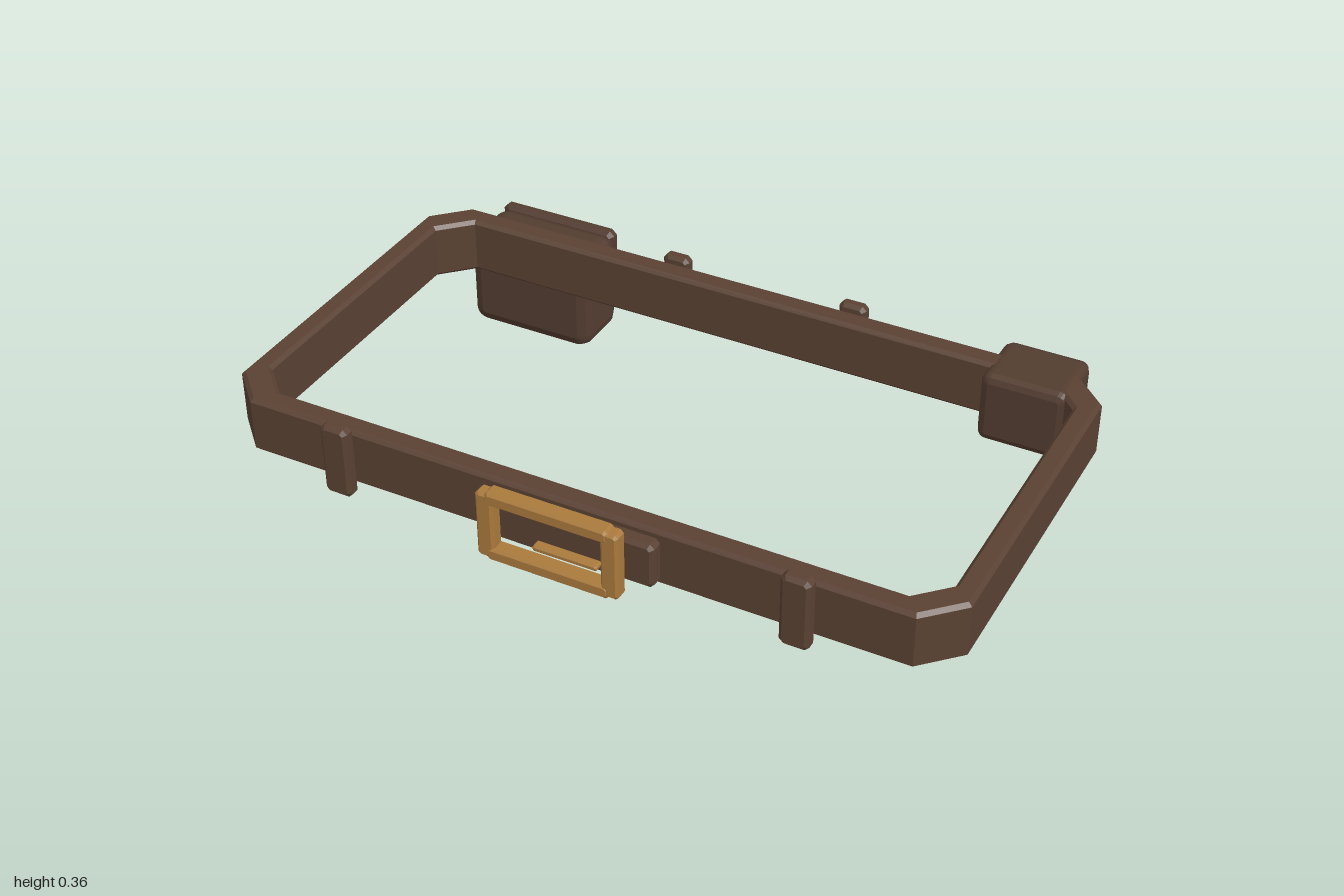
import * as THREE from 'three';

const leather = new THREE.MeshStandardMaterial({ color: 0x5a4133 });
leather.name = 'brown leather';
const pouchLeather = new THREE.MeshStandardMaterial({ color: 0x533c30 });
pouchLeather.name = 'dark leather';
const brass = new THREE.MeshStandardMaterial({ color: 0xaa7a3c });
brass.name = 'brass';
const stud = new THREE.MeshStandardMaterial({ color: 0xa06f28 });
stud.name = 'dark brass';

// Rectangle or ring outline with cut corners
function cutRect(Type, x0, x1, z0, z1, cx, cz = cx) {
  const p = [
    [x0 + cx, z0], [x1 - cx, z0], [x1, z0 + cz], [x1, z1 - cz],
    [x1 - cx, z1], [x0 + cx, z1], [x0, z1 - cz], [x0, z0 + cz],
  ];
  return new Type(p.map(([x, y]) => new THREE.Vector2(x, y)));
}

// Outline with rounded corners
function roundRect(w, h, r) {
  const s = new THREE.Shape();
  [[1, 1, 0], [-1, 1, 1], [-1, -1, 2], [1, -1, 3]].forEach(([sx, sy, q]) => {
    s.absarc(sx * (w / 2 - r), sy * (h / 2 - r), r, q * Math.PI / 2, (q + 1) * Math.PI / 2, false);
  });
  return s;
}

function add(parent, name, geometry, material) {
  const mesh = new THREE.Mesh(geometry, material);
  mesh.name = name;
  parent.add(mesh);
  return mesh;
}

// Box with bevelled edges, given by its limits on each axis
function block(parent, name, material, [x0, x1], [y0, y1], [z0, z1], bevel, segments = 1) {
  const w = x1 - x0, h = y1 - y0, d = z1 - z0;
  const shape = segments > 1
    ? roundRect(w, h, bevel * 1.2)
    : cutRect(THREE.Shape, -w / 2, w / 2, -h / 2, h / 2, bevel * 1.2);
  const geometry = new THREE.ExtrudeGeometry(shape, {
    depth: d - 2 * bevel, bevelThickness: bevel, bevelSize: bevel,
    bevelOffset: -bevel, bevelSegments: segments, curveSegments: segments,
  });
  geometry.translate((x0 + x1) / 2, (y0 + y1) / 2, z0 + bevel);
  return add(parent, name, geometry, material);
}

// Round stud facing the back
function button(parent, name, x, y, zFront, zBack, r) {
  const depth = zFront - zBack;
  const geometry = new THREE.CylinderGeometry(r, r * 0.75, depth, 10);
  geometry.rotateX(Math.PI / 2);
  geometry.translate(x, y, (zFront + zBack) / 2);
  add(parent, name, geometry, stud);
}

export function createModel() {
  const model = new THREE.Group();
  model.name = 'belt';

  // Closed strap with cut corners
  const ring = cutRect(THREE.Shape, -1, 1, -0.5, 0.57, 0.095);
  ring.holes.push(cutRect(THREE.Path, -0.94, 0.94, -0.435, 0.505, 0.08));
  const b = 0.01;
  const strap = new THREE.ExtrudeGeometry(ring, {
    depth: 0.16 - 2 * b, bevelThickness: b, bevelSize: b, bevelOffset: -b, bevelSegments: 1,
  });
  strap.rotateX(Math.PI / 2);
  strap.translate(0, 0.345 - b, 0);
  add(model, 'strap', strap, leather);

  // Keeper loops on front and back
  for (const x of [-0.633, 0.622])
    block(model, 'frontLoop', leather, [x - 0.039, x + 0.039], [0.16, 0.365], [0.565, 0.606], 0.01);
  for (const x of [-0.255, 0.272])
    block(model, 'backLoop', leather, [x - 0.039, x + 0.039], [0.16, 0.365], [-0.533, -0.495], 0.01);

  // Overlapping strap end behind the buckle
  block(model, 'strapEnd', leather, [-0.17, 0.263], [0.2, 0.328], [0.565, 0.612], 0.01);

  // Buckle frame and prong
  const buckle = new THREE.Group();
  buckle.name = 'buckle';
  model.add(buckle);
  for (const x of [-0.172, 0.167])
    block(buckle, 'buckleSide', brass, [x - 0.024, x + 0.024], [0.168, 0.36], [0.611, 0.653], 0.007);
  for (const y of [0.182, 0.347])
    block(buckle, 'buckleBar', brass, [-0.17, 0.165], [y - 0.019, y + 0.019], [0.609, 0.655], 0.007);
  block(buckle, 'prong', brass, [-0.028, 0.147], [0.256, 0.272], [0.645, 0.674], 0.004);

  // Large pouch with flap, stud and stitches
  const pouch = new THREE.Group();
  pouch.name = 'largePouch';
  model.add(pouch);
  block(pouch, 'pouchBody', pouchLeather, [-0.89, -0.51], [0.005, 0.295], [-0.63, -0.445], 0.034, 2);
  block(pouch, 'pouchFlap', pouchLeather, [-0.882, -0.52], [0.172, 0.3], [-0.657, -0.618], 0.012);
  button(pouch, 'pouchStud', -0.7, 0.212, -0.652, -0.676, 0.029);
  for (const x of [-0.83, -0.57])
    for (const y of [0.065, 0.102, 0.139])
      block(pouch, 'stitch', stud, [x - 0.007, x + 0.007], [y - 0.009, y + 0.009], [-0.643, -0.625], 0.003);

  // Small pouch on the back left corner
  const small = new THREE.Group();
  small.name = 'smallPouch';
  model.add(small);
  block(small, 'smallPouchBody', pouchLeather, [0.682, 0.916], [0.146, 0.347], [-0.573, -0.378], 0.022, 2);
  button(small, 'smallPouchStud', 0.79, 0.262, -0.568, -0.595, 0.022);

  return model;
}
